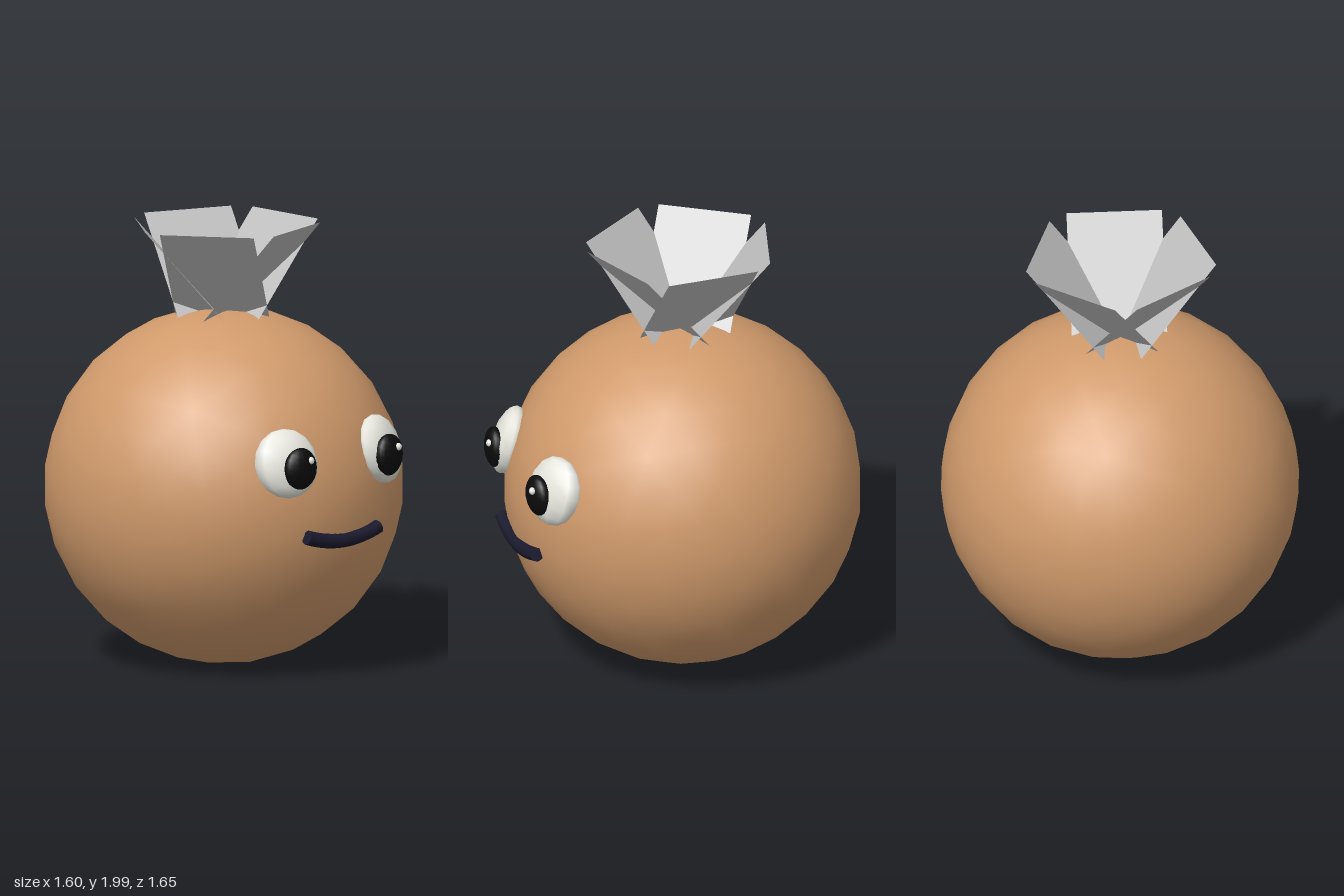
import * as THREE from 'three';

const mat = (name, color, side = THREE.FrontSide) => {
  const m = new THREE.MeshStandardMaterial({ color, side });
  m.name = name;
  return m;
};

export function createModel() {
  const skin = mat('tan skin', 0xd09a6b);
  const leafGrey = mat('leaf grey', 0xbfbfbf, THREE.DoubleSide);
  const white = mat('eye white', 0xe6e6de);
  const black = mat('pupil black', 0x0b0b0b);
  const navy = mat('mouth navy', 0x1a1a2e);

  const model = new THREE.Group();
  model.name = 'roundHead';
  const add = (name, geometry, material, parent = model) => {
    const mesh = new THREE.Mesh(geometry, material);
    mesh.name = name;
    parent.add(mesh);
    return mesh;
  };

  // Round body
  const centre = new THREE.Vector3(0, 0.808, -0.018);
  add('body', new THREE.IcosahedronGeometry(0.808, 4), skin).position.copy(centre);

  // Crown of five flat leaves leaning outwards and crossing at their bases
  const crown = new THREE.Group();
  crown.name = 'leafCrown';
  crown.position.z = -0.022;
  model.add(crown);
  const top = [0.38, 2], base = [0.017, 1.58];
  const lean = Math.atan2(top[0] - base[0], top[1] - base[1]);
  const length = Math.hypot(top[0] - base[0], top[1] - base[1]);
  for (let i = 0; i < 5; i++) {
    const stem = new THREE.Group();
    stem.name = 'leafStem' + (i + 1);
    stem.rotation.y = Math.PI / 2 + (i * Math.PI * 2) / 5;
    crown.add(stem);
    const leaf = add('leaf' + (i + 1), new THREE.PlaneGeometry(0.43, length), leafGrey, stem);
    leaf.position.set(0, (top[1] + base[1]) / 2, (top[0] + base[0]) / 2);
    leaf.rotation.x = lean;
  }

  // Flattened eyes lying on the body, with pupils and glints facing forward
  for (const s of [-1, 1]) {
    const side = s > 0 ? 'left' : 'right';
    const eye = add(side + 'Eye', new THREE.SphereGeometry(1, 10, 8), white);
    eye.position.set(s * 0.287, 1.028, 0.705);
    eye.lookAt(eye.position.clone().multiplyScalar(2).sub(centre));
    eye.scale.set(0.152, 0.158, 0.075);

    const pupil = add(side + 'Pupil', new THREE.SphereGeometry(1, 16, 12), black);
    pupil.position.set(s * 0.27, 1.012, 0.78);
    pupil.rotation.y = s * 0.12;
    pupil.scale.set(0.085, 0.095, 0.046);

    const glint = add(side + 'Glint', new THREE.SphereGeometry(0.018, 8, 6), white);
    glint.position.set(s * 0.268 + 0.027, 1.05, 0.815);
  }

  // Smiling mouth with capped ends
  const curve = new THREE.QuadraticBezierCurve3(
    new THREE.Vector3(-0.217, 0.69, 0.765),
    new THREE.Vector3(0, 0.618, 0.785),
    new THREE.Vector3(0.217, 0.69, 0.765));
  add('mouth', new THREE.TubeGeometry(curve, 12, 0.033, 8), navy);
  for (const t of [0, 1]) {
    const cap = add('mouthEnd' + (t + 1), new THREE.CircleGeometry(0.033, 8), navy);
    const p = curve.getPoint(t);
    cap.position.copy(p);
    cap.lookAt(p.clone().addScaledVector(curve.getTangent(t), t ? 1 : -1));
  }
  return model;
}
